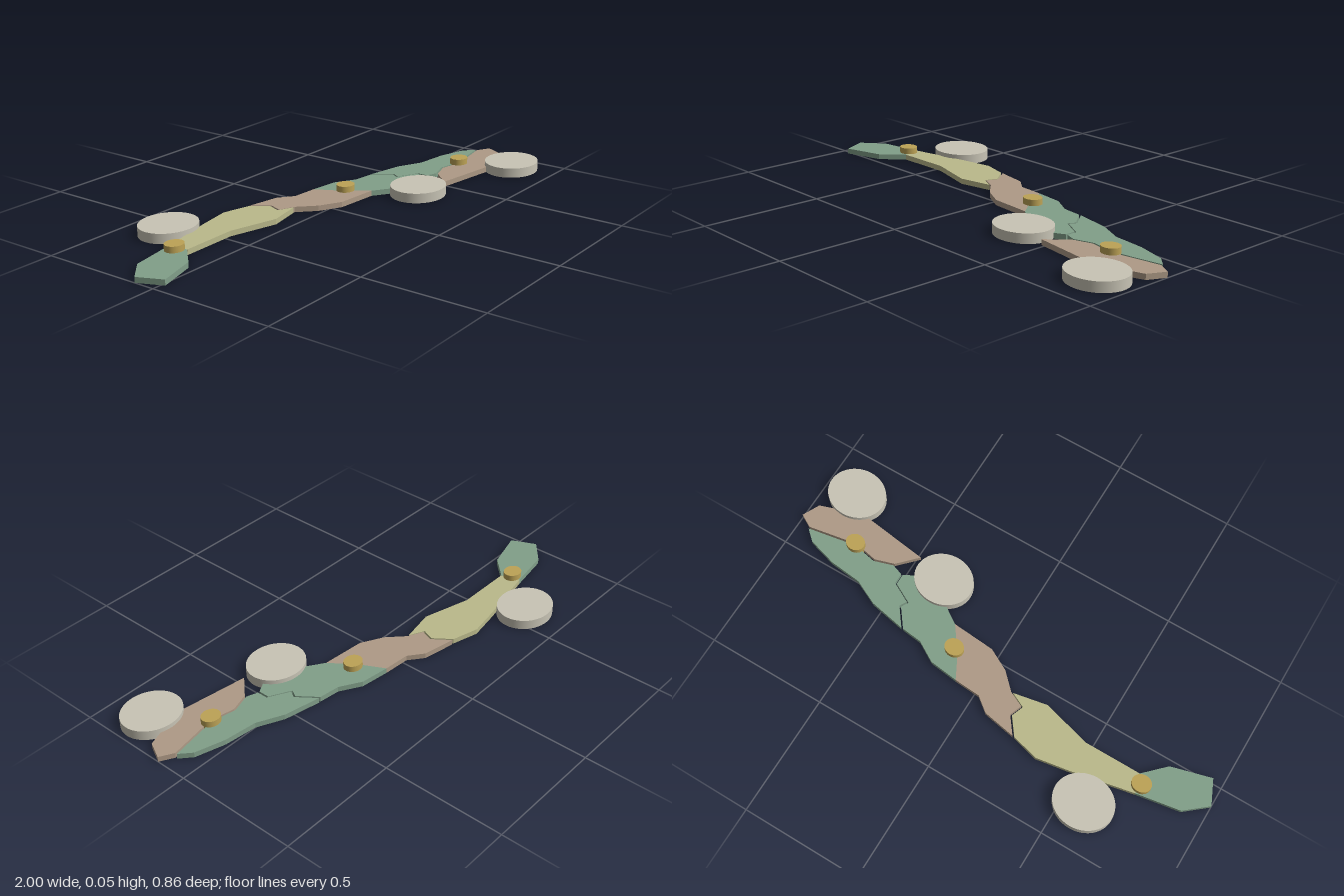
import * as THREE from 'three';

const mat = (name, color) => {
  const m = new THREE.MeshStandardMaterial({ color });
  m.name = name;
  return m;
};

export function createModel() {
  const green = mat('sage green', 0x819f89);
  const khaki = mat('khaki', 0xbab98b);
  const brown = mat('dusty brown', 0xae9a86);
  const stone = mat('pale stone', 0xc8c4b5);
  const gold = mat('gold', 0xbda356);
  const model = new THREE.Group();
  model.name = 'jointedPlateChain';

  // Flat plate from an [x, z] outline
  const plate = (name, material, points) => {
    const shape = new THREE.Shape(points.map(([x, z]) => new THREE.Vector2(x, -z)));
    const geo = new THREE.ExtrudeGeometry(shape, { depth: 0.022, bevelEnabled: false });
    geo.rotateX(-Math.PI / 2);
    const mesh = new THREE.Mesh(geo, material);
    mesh.name = name;
    model.add(mesh);
  };

  // Slightly oval upright disc
  const disc = (name, material, x, z, rx, rz, y0, y1, sides) => {
    const geo = new THREE.CylinderGeometry(1, 1, y1 - y0, sides);
    geo.scale(rx, 1, rz);
    geo.translate(x, (y0 + y1) / 2, z);
    const mesh = new THREE.Mesh(geo, material);
    mesh.name = name;
    model.add(mesh);
  };

  // Shared cracks between plates, each side drawn back to leave a hairline gap
  const shift = (pts, dx, dz = 0) => pts.map(([x, z]) => [x + dx, z + dz]);
  const g = 0.004;
  const crackA = [[-0.22, -0.235], [-0.168, -0.165], [-0.187, -0.115], [-0.125, -0.085]];
  const crackB = [[0.385, -0.08], [0.442, -0.005], [0.426, 0.025], [0.51, 0.07], [0.51, 0.115]];
  const crackC = [[0.945, 0.095], [0.74, 0.13], [0.64, 0.11], [0.56, 0.135]];

  plate('tailPlate', green, [[-1, -0.085], [-0.91, -0.16], [-0.73, -0.19], [-0.705, -0.115],
    [-0.79, -0.03], [-0.955, 0.015]]);
  plate('narrowPlate', khaki, [[-0.73, -0.19], [-0.47, -0.243], [-0.47, -0.113], [-0.705, -0.113]]);
  plate('broadPlate', khaki, [[-0.47, -0.243], [-0.335, -0.265], ...shift(crackA, -g),
    [-0.27, -0.058], [-0.47, -0.113]]);
  plate('middlePlate', brown, [...shift(crackA, g).reverse(), [-0.08, -0.21], [-0.02, -0.163],
    [0.09, -0.155], [0.14, -0.06], [0.215, 0.043], [0.035, 0.028], [-0.055, -0.02]]);
  plate('shoulderPlate', green, [[0.09, -0.155], [0.21, -0.14], [0.295, -0.09], ...shift(crackB, -g),
    [0.465, 0.137], [0.3, 0.1], [0.215, 0.043], [0.14, -0.06]]);
  plate('upperEndPlate', green, [...shift(crackB, g).reverse(), [0.54, -0.05], [0.645, 0],
    [0.78, 0.015], [0.9, 0.05], ...shift(crackC, 0, -g)]);
  plate('lowerEndPlate', brown, [...shift(crackC, 0, g).reverse(), [1, 0.13], [0.965, 0.2],
    [0.86, 0.235], [0.77, 0.257], [0.485, 0.217]]);

  // Side discs
  [[-0.58, -0.323], [0.35, 0.178], [0.857, 0.32]].forEach(([x, z], i) =>
    disc('sideDisc' + (i + 1), stone, x, z, 0.123, 0.108, 0, 0.04, 48));

  // Joint pins
  [[-0.733, -0.15], [0.162, -0.048], [0.74, 0.13]].forEach(([x, z], i) =>
    disc('jointPin' + (i + 1), gold, x, z, 0.04, 0.035, 0.002, 0.047, 24));

  return model;
}
